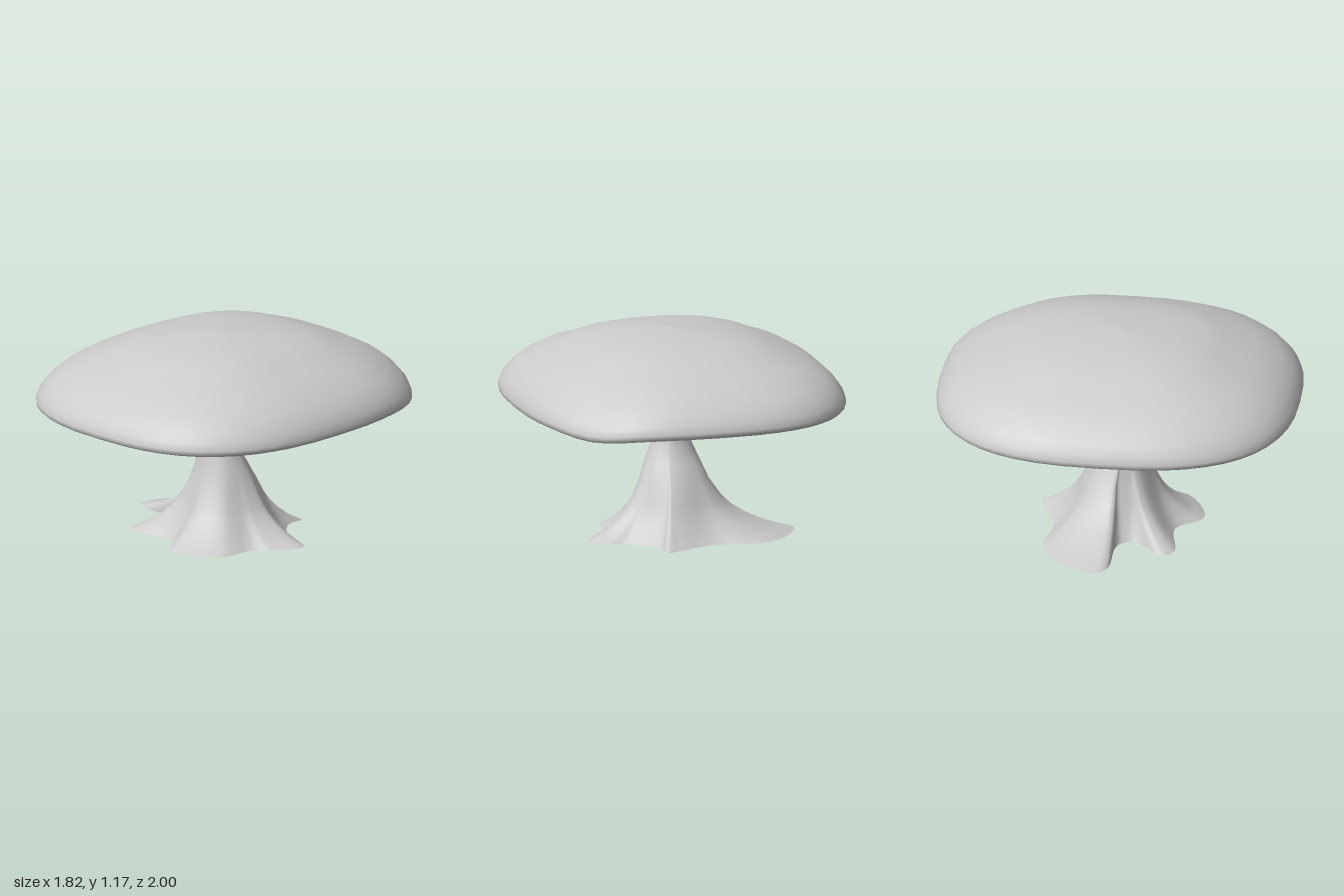
import * as THREE from 'three';

const material = new THREE.MeshStandardMaterial({ color: 0xcccccc, side: THREE.DoubleSide });

// Skin a stack of closed rings (ordered bottom to top) with smooth normals
function loft(name, rings) {
  const n = rings[0].length;
  const index = [];
  for (let i = 0; i < rings.length - 1; i++) {
    for (let j = 0; j < n; j++) {
      const a = i * n + j, b = i * n + (j + 1) % n;
      index.push(a, a + n, b, b, a + n, b + n);
    }
  }
  const geometry = new THREE.BufferGeometry().setFromPoints(rings.flat());
  geometry.setIndex(index);
  geometry.computeVertexNormals();
  const mesh = new THREE.Mesh(geometry, material);
  mesh.name = name;
  return mesh;
}

// Rounded-square outline of the cap, scaled by s; one rear corner sags a little
function capRing([s, y]) {
  const ring = [];
  const bend = (v) => Math.sign(v) * Math.abs(v) ** (2 / 2.6);
  for (let j = 0; j < 48; j++) {
    const t = (j / 48) * Math.PI * 2;
    const x = 0.91 * s * bend(Math.cos(t)), z = s * bend(Math.sin(t));
    const sag = 0.03 * Math.exp(-((x - 0.68) ** 2 + (z + 0.78) ** 2) / 0.06);
    ring.push(new THREE.Vector3(x, y - sag, z));
  }
  return ring;
}

function createCap() {
  const cap = new THREE.Group();
  cap.name = 'cap';
  // [outline scale, height] for each section, split where the edges are sharp
  const sections = {
    ceiling: [[0.001, 0.9], [0.25, 0.89], [0.48, 0.85], [0.62, 0.79], [0.66, 0.762]],
    innerLip: [[0.66, 0.762], [0.69, 0.768], [0.82, 0.85]],
    rimUnderside: [[0.82, 0.85], [0.9, 0.805], [0.965, 0.768]],
    shell: [[0.965, 0.768], [0.985, 0.767], [0.998, 0.78], [1, 0.8], [0.985, 0.84], [0.945, 0.89],
      [0.88, 0.945], [0.77, 1.005], [0.68, 1.035], [0.56, 1.085], [0.45, 1.118], [0.3, 1.142],
      [0.15, 1.157], [0.001, 1.167]],
  };
  for (const [name, profile] of Object.entries(sections)) cap.add(loft(name, profile.map(capRing)));
  return cap;
}

function createStem() {
  const stem = new THREE.Group();
  stem.name = 'stem';

  // Root footprint on the ground (x, z)
  const roots = [
    [0.33, 0.36], [0.05, 0.49], [-0.1, 0.34], [-0.39, 0.37], [-0.45, 0.31], [-0.31, 0.13], [-0.35, 0.035],
    [-0.65, 0.01], [-0.72, -0.05], [-0.6, -0.3], [-0.42, -0.4], [-0.14, -0.37], [0.08, -0.45],
    [0.17, -0.48], [0.18, -0.36], [0.33, -0.2], [0.45, -0.17], [0.54, -0.11], [0.46, 0.06], [0.37, 0.14],
  ].map(([x, z]) => new THREE.Vector3(x, 0, z).multiplyScalar(0.94));
  const foot = new THREE.CatmullRomCurve3(roots, true).getPoints(100).slice(0, -1);

  // [height, core half width, core half depth, core x, core z, root influence]
  const levels = [
    [0, 0.25, 0.25, 0, 0, 1], [0.025, 0.23, 0.23, 0, 0, 0.8], [0.05, 0.22, 0.22, 0, 0, 0.64],
    [0.1, 0.21, 0.21, 0, 0, 0.42], [0.15, 0.2, 0.2, 0, 0, 0.27], [0.2, 0.19, 0.19, 0, 0, 0.18],
    [0.3, 0.165, 0.165, 0, 0, 0.08], [0.4, 0.147, 0.13, 0, 0.015, 0.03], [0.5, 0.115, 0.095, -0.005, 0.035, 0],
    [0.6, 0.088, 0.088, -0.013, 0.032, 0], [0.67, 0.088, 0.095, -0.013, 0.022, 0],
    [0.72, 0.125, 0.115, -0.01, 0.005, 0], [0.77, 0.16, 0.14, -0.005, -0.01, 0],
    [0.83, 0.18, 0.17, 0, -0.01, 0], [0.9, 0.2, 0.19, 0, 0, 0],
  ];
  const rings = levels.map(([y, w, d, cx, cz, k]) => foot.map((p) => {
    const t = Math.atan2(p.z, p.x);
    return new THREE.Vector3(cx + w * Math.cos(t), y, cz + d * Math.sin(t))
      .lerp(new THREE.Vector3(p.x, y, p.z), k);
  }));
  stem.add(loft('trunkAndRoots', rings));

  // Flat sole under the roots
  const sole = new THREE.Mesh(
    new THREE.ShapeGeometry(new THREE.Shape(foot.map((p) => new THREE.Vector2(p.x, p.z)))), material);
  sole.geometry.rotateX(Math.PI / 2);
  sole.name = 'sole';
  stem.add(sole);

  // Small knot near the top of the stem
  const knot = new THREE.Mesh(new THREE.SphereGeometry(0.05, 16, 12), material);
  knot.position.set(0.12, 0.82, 0.13);
  knot.name = 'knot';
  stem.add(knot);
  return stem;
}

export function createModel() {
  const model = new THREE.Group();
  model.name = 'mushroom';
  model.add(createCap(), createStem());
  return model;
}
